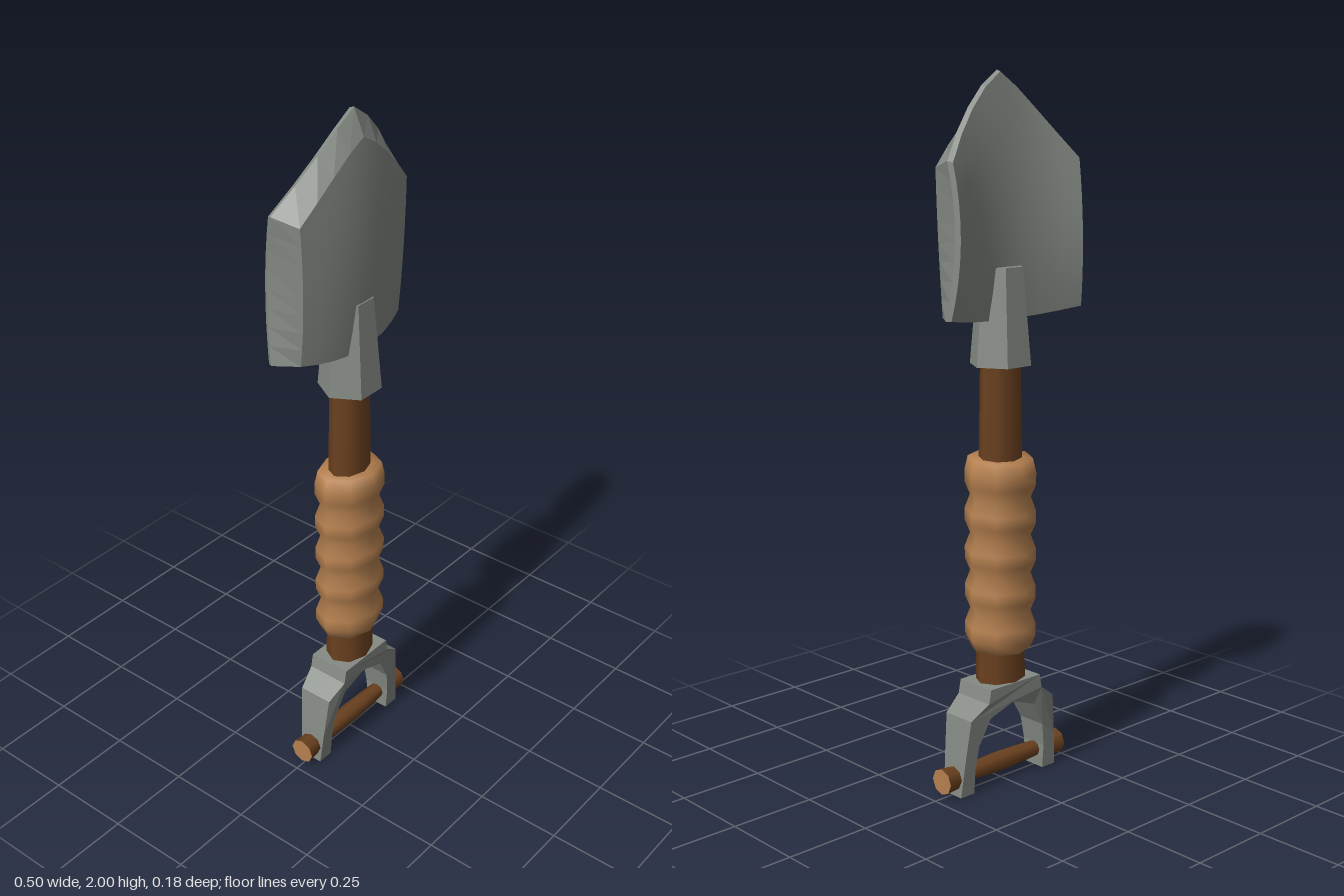
import * as THREE from 'three';

const steel = new THREE.MeshStandardMaterial({ color: 0x858a84 });
steel.name = 'steel';
const wood = new THREE.MeshStandardMaterial({ color: 0x6b411f });
wood.name = 'darkWood';
const leather = new THREE.MeshStandardMaterial({ color: 0xb5804f });
leather.name = 'tan';

function add(group, name, geometry, material) {
  const mesh = new THREE.Mesh(geometry, material);
  mesh.name = name;
  group.add(mesh);
  return mesh;
}

function flat(geometry) {
  const g = geometry.index ? geometry.toNonIndexed() : geometry;
  g.computeVertexNormals();
  return g;
}

// Grid surface from a point function; faces +z when i runs right and j runs up
function surface(point, ni, nj, flip = false) {
  const positions = [], index = [];
  for (let j = 0; j <= nj; j++) {
    for (let i = 0; i <= ni; i++) positions.push(...point(i, j));
  }
  for (let j = 0; j < nj; j++) {
    for (let i = 0; i < ni; i++) {
      const a = j * (ni + 1) + i, b = a + 1, d = a + ni + 1, c = d + 1;
      index.push(...(flip ? [a, c, b, a, d, c] : [a, b, c, a, c, d]));
    }
  }
  const g = new THREE.BufferGeometry();
  g.setAttribute('position', new THREE.Float32BufferAttribute(positions, 3));
  g.setIndex(index);
  g.computeVertexNormals();
  return g;
}

// Quadratic through a, m, b at v = 0, 0.5, 1
const quad = (a, m, b, v) =>
  a * (1 - v) * (1 - 2 * v) + 4 * m * v * (1 - v) + b * v * (2 * v - 1);

function makeBlade() {
  const blade = new THREE.Group();
  blade.name = 'blade';
  const N = 8;
  const height = (u, v, tip, drop) => {
    const bottom = 1.335 + 0.022 * u * u;
    const top = tip - drop * Math.abs(u) ** 1.25;
    return bottom + (top - bottom) * v;
  };
  const front = (u, v) => {
    const mid = quad(0.042, 0.056, 0.045, v), side = quad(0.005, 0.018, 0.018, v);
    return [u * quad(0.205, 0.207, 0.215, v), height(u, v, 1.93, 0.18), mid + (side - mid) * u * u];
  };
  const backZ = (u, v) => {
    const mid = quad(-0.018, -0.03, 0, v), side = quad(-0.072, -0.092, -0.07, v);
    return mid + (side - mid) * u * u;
  };
  const halfWidth = (v) => quad(0.25, 0.234, 0.24, v);
  const rim = (u, v) => [u * halfWidth(v), height(u, v, 2, 0.23), backZ(u, v) + 0.014];
  const back = (u, v) => [u * (halfWidth(v) - 0.008), height(u, v, 1.995, 0.23), backZ(u, v)];

  // Outline of the grid, counterclockwise from the lower left corner
  const border = (k) => {
    const side = Math.floor(k / N) % 4, t = (k % N) / N;
    return [[2 * t - 1, 0], [1, t], [1 - 2 * t, 1], [-1, 1 - t]][side];
  };
  const strip = (outer, inner) =>
    flat(surface((i, j) => (j ? inner : outer)(...border(i)), 4 * N, 1));
  const panel = (fn, flip) => surface((i, j) => fn((2 * i) / N - 1, j / N), N, N, flip);

  add(blade, 'bladeFront', panel(front, false), steel);
  add(blade, 'bladeBack', panel(back, true), steel);
  add(blade, 'bladeBevel', strip(rim, front), steel);
  add(blade, 'bladeEdge', strip(back, rim), steel);
  return blade;
}

// Forked bracket, thinner towards the ends of its legs
function makeYoke() {
  const half = [[0.095, 0.305], [0.103, 0.265], [0.16, 0.225], [0.175, 0.1], [0.185, 0],
    [0.135, 0], [0.135, 0.07], [0.125, 0.14], [0.085, 0.215]];
  const right = half.map(([x, y]) => new THREE.Vector2(x, y));
  const left = half.map(([x, y]) => new THREE.Vector2(-x, y)).reverse();
  const shape = new THREE.Shape([...right, new THREE.Vector2(0, 0.245), ...left]);
  const g = new THREE.ExtrudeGeometry(shape, { depth: 2, bevelEnabled: false });
  g.translate(0, 0, -1);
  const p = g.attributes.position;
  for (let i = 0; i < p.count; i++) {
    const y = p.getY(i);
    const depth = y > 0.26 ? 0.064 : 0.036 + 0.016 * (y / 0.225);
    p.setZ(i, p.getZ(i) * depth);
  }
  return flat(g);
}

// Wrapped grip with five bulges, leaning slightly towards the back
function makeGrip() {
  const profile = [new THREE.Vector2(0.06, 0.4)];
  for (let i = 0; i < 5; i++) {
    const y = 0.4 + i * 0.11;
    profile.push(new THREE.Vector2(0.092, y), new THREE.Vector2(0.108, y + 0.035),
      new THREE.Vector2(0.108, y + 0.07));
  }
  profile.push(new THREE.Vector2(0.098, 0.95), new THREE.Vector2(0.05, 0.95));
  const g = new THREE.LatheGeometry(profile, 8);
  g.scale(1, 1, 0.85);
  const p = g.attributes.position;
  for (let i = 0; i < p.count; i++) p.setY(i, p.getY(i) + p.getZ(i) * 0.09);
  return g;
}

export function createModel() {
  const model = new THREE.Group();
  model.name = 'shovel';
  model.add(makeBlade());

  // Six-sided socket joining blade and shaft
  const socket = new THREE.CylinderGeometry(0.064, 0.088, 0.27, 6);
  socket.rotateY(Math.PI / 6);
  socket.translate(0, 1.345, 0);
  add(model, 'socket', flat(socket), steel);

  const shaft = new THREE.CylinderGeometry(0.062, 0.078, 0.94, 8);
  shaft.scale(1, 1, 0.8);
  shaft.translate(0, 0.76, 0);
  add(model, 'shaft', shaft, wood);

  add(model, 'grip', makeGrip(), leather);
  add(model, 'yoke', makeYoke(), steel);

  // Crossbar, thickest in the middle, with a knob at each end
  const barProfile = [[0.021, -0.18], [0.026, -0.09], [0.029, 0], [0.026, 0.09], [0.021, 0.18]]
    .map(([r, y]) => new THREE.Vector2(r, y));
  const bar = add(model, 'crossbar', new THREE.LatheGeometry(barProfile, 8), wood);
  bar.rotation.z = -Math.PI / 2;
  bar.position.y = 0.05;
  for (const side of [1, -1]) {
    const knob = add(model, side > 0 ? 'leftKnob' : 'rightKnob',
      new THREE.CylinderGeometry(0.038, 0.034, 0.045, 8), [wood, leather, wood]);
    knob.rotation.z = (-side * Math.PI) / 2;
    knob.position.set(side * 0.2025, 0.05, 0);
  }
  return model;
}
